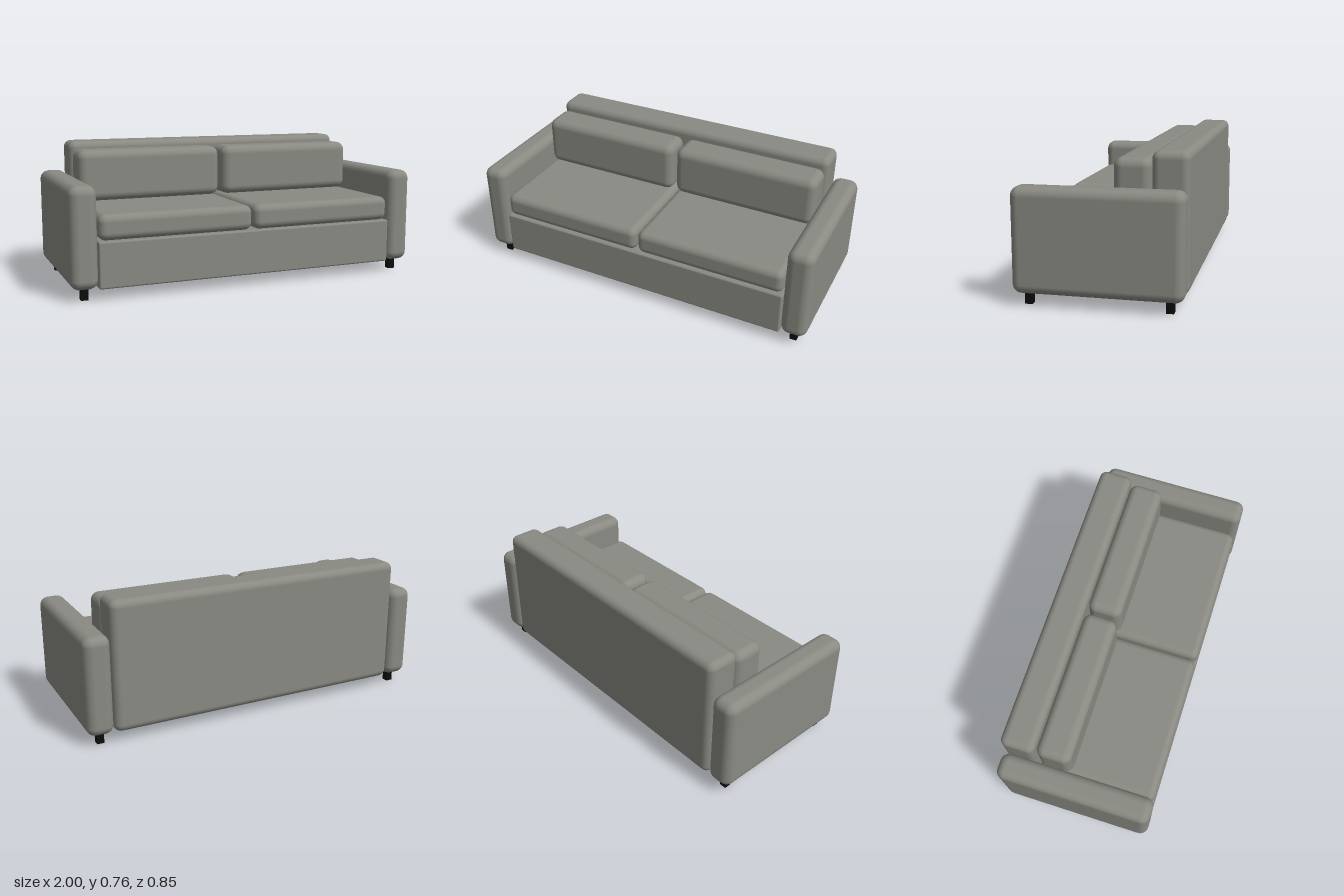
import * as THREE from 'three';
import { RoundedBoxGeometry } from 'three/addons/geometries/RoundedBoxGeometry.js';

export function createModel() {
  const sofa = new THREE.Group();
  sofa.name = 'sofa';

  const fabric = new THREE.MeshStandardMaterial({ color: 0x8a8a83 });
  fabric.name = 'grey fabric';
  const black = new THREE.MeshStandardMaterial({ color: 0x0c0c0c });
  black.name = 'black leg';

  // Padded block given by its [min, max] range on each axis and edge radius
  function pad(name, [x0, x1], [y0, y1], [z0, z1], radius) {
    const geometry = new RoundedBoxGeometry(x1 - x0, y1 - y0, z1 - z0, 4, radius);
    const mesh = new THREE.Mesh(geometry, fabric);
    mesh.name = name;
    mesh.position.set((x0 + x1) / 2, (y0 + y1) / 2, (z0 + z1) / 2);
    sofa.add(mesh);
  }

  // Frame
  pad('base', [-0.857, 0.857], [0.06, 0.305], [-0.26, 0.421], 0.01);
  pad('backrest', [-0.857, 0.857], [0.06, 0.763], [-0.427, -0.24], 0.04);

  for (const side of [1, -1]) {
    const label = side > 0 ? 'left' : 'right';
    const span = (a, b) => (side > 0 ? [a, b] : [-b, -a]);

    // Arm and cushions
    pad(label + 'Arm', span(0.857, 1), [0.06, 0.591], [-0.427, 0.427], 0.048);
    pad(label + 'SeatCushion', span(0.005, 0.852), [0.305, 0.44], [-0.24, 0.418], 0.04);
    pad(label + 'BackCushion', span(0.011, 0.847), [0.44, 0.725], [-0.24, -0.048], 0.047);

    // Legs
    for (const z of [0.353, -0.352]) {
      const leg = new THREE.Mesh(new THREE.BoxGeometry(0.038, 0.064, 0.038), black);
      leg.name = label + (z > 0 ? 'FrontLeg' : 'BackLeg');
      leg.position.set(side * 0.924, 0.032, z);
      sofa.add(leg);
    }
  }
  return sofa;
}
